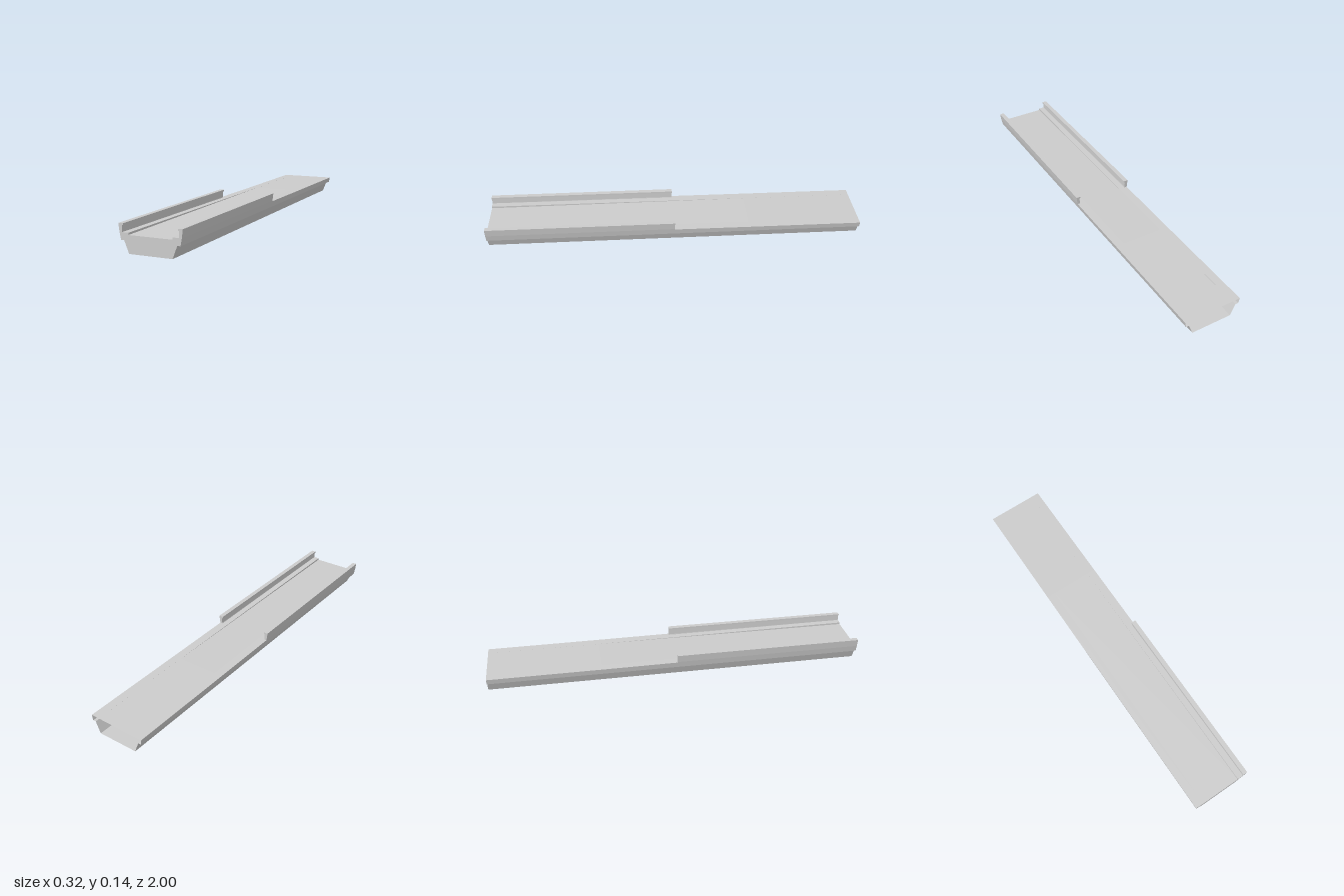
import * as THREE from 'three';

const mat = new THREE.MeshStandardMaterial({ color: 0xcccccc, flatShading: true, side: THREE.DoubleSide });

// Mirror a right-hand half profile (bottom to top) into a counter-clockwise loop
const mirrored = (half) => [...half, ...half.map(([x, y]) => [-x, y]).reverse()];

// Hull section: sloped bilge, overhanging side, raised ledge and sunken deck
const section = (ledgeY, deckY) => mirrored([
  [0.109, 0], [0.133, 0.06], [0.149, 0.06],
  [0.149 + (ledgeY - 0.06) * 0.2, ledgeY], [0.11, ledgeY], [0.11, deckY],
]);

// Skin joining matching section loops along z (ends left open)
function loft(stations) {
  const pos = [];
  for (let s = 0; s + 1 < stations.length; s++) {
    const A = stations[s], B = stations[s + 1], n = A.loop.length;
    for (let i = 0; i < n; i++) {
      const j = (i + 1) % n;
      const a = [...A.loop[i], A.z], b = [...A.loop[j], A.z];
      const c = [...B.loop[j], B.z], d = [...B.loop[i], B.z];
      pos.push(...a, ...b, ...d, ...b, ...c, ...d);
    }
  }
  const g = new THREE.BufferGeometry();
  g.setAttribute('position', new THREE.Float32BufferAttribute(pos, 3));
  g.computeVertexNormals();
  return g;
}

const toShape = (pts) => new THREE.Shape(pts.map(([x, y]) => new THREE.Vector2(x, y)));

export function createModel() {
  const group = new THREE.Group();
  const add = (name, geometry) => {
    const mesh = new THREE.Mesh(geometry, mat);
    mesh.name = name;
    group.add(mesh);
    return mesh;
  };

  // Hollow hull, open at the back; the ledge step fades out past the middle
  const front = section(0.095, 0.085);
  add('hull', loft([
    { z: -1, loop: section(0.089, 0.0889) },
    { z: -0.4, loop: section(0.09, 0.0898) },
    { z: 1, loop: front },
  ]));

  // Closed front end
  add('frontPlate', new THREE.ShapeGeometry(toShape(front))).position.z = 1;

  // Lipped side rails along the front half
  const rail = [
    [0.141, 0.091], [0.1552, 0.091], [0.156, 0.095], [0.161, 0.135],
    [0.137, 0.135], [0.137, 0.126], [0.143, 0.126], [0.142, 0.095],
  ];
  for (const [name, side] of [['leftRail', 1], ['rightRail', -1]]) {
    const pts = rail.map(([x, y]) => [x * side, y]);
    add(name, new THREE.ExtrudeGeometry(toShape(pts), { depth: 1, bevelEnabled: false }));
  }
  return group;
}
